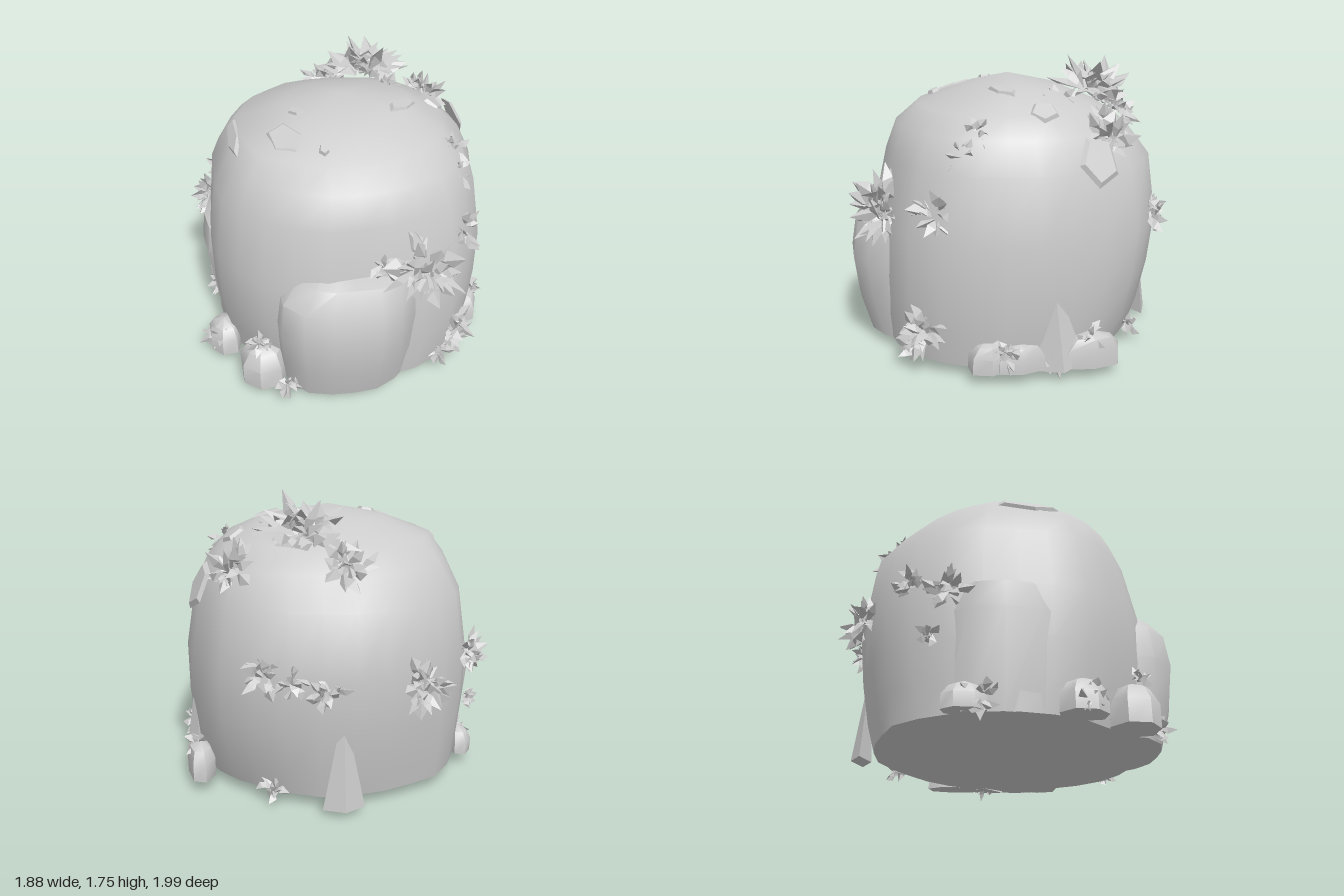
import * as THREE from 'three';
import { mergeGeometries, toCreasedNormals } from 'three/addons/utils/BufferGeometryUtils.js';

const stone = new THREE.MeshStandardMaterial({ color: 0xcccccc });
stone.name = 'stone grey';
const foliage = new THREE.MeshStandardMaterial({ color: 0xcacaca, side: THREE.DoubleSide });
foliage.name = 'foliage grey';

let seed = 7;
const rand = () => (seed = (seed * 16807) % 2147483647) / 2147483647;
const between = (a, b) => a + (b - a) * rand();

// Closed stone lofted through rings of [y, extent -x, extent +x, extent -z, extent +z, squareness, skew];
// skew makes the +x+z and -x-z corners squarer and the other two rounder
function loft(name, cx, cz, rings, apexY, sides, rough) {
  const p = [], index = [];
  rings.forEach(([y, xn, xp, zn, zp, square, skew], r) => {
    for (let i = 0; i < sides; i++) {
      const a = (i / sides) * Math.PI * 2, c = Math.cos(a), s = Math.sin(a);
      const power = square + 2 * skew * c * s;
      const k = Math.pow(Math.abs(c) ** power + Math.abs(s) ** power, -1 / power);
      const wobble = 1 + rough * Math.sin(i * 2.4 + r * 0.5) * Math.sin(i * 0.9 + 1);
      p.push(cx + c * k * wobble * (c > 0 ? xp : xn), y, cz + s * k * wobble * (s > 0 ? zp : zn));
    }
  });
  const top = rings.length * sides, last = top - sides;
  p.push(cx, apexY, cz, cx, rings[0][0], cz);
  for (let i = 0; i < sides; i++) {
    const j = (i + 1) % sides;
    for (let r = 0; r < last; r += sides) {
      index.push(r + i, r + sides + i, r + j, r + j, r + sides + i, r + sides + j);
    }
    index.push(last + i, top, last + j, i, j, top + 1);
  }
  const g = new THREE.BufferGeometry();
  g.setAttribute('position', new THREE.Float32BufferAttribute(p, 3));
  g.setIndex(index);
  const mesh = new THREE.Mesh(toCreasedNormals(g, 0.7), stone);
  mesh.name = name;
  return mesh;
}

// One folded, bent leaf growing along +y
function leaf(len, wide) {
  const b = [0, 0, 0], l = [-wide, len * 0.6, 0.03], r = [wide, len * 0.5, 0.03];
  const m = [0, len * 0.5, -wide * 0.3], t = [0, len, len * 0.15];
  const g = new THREE.BufferGeometry();
  g.setAttribute('position', new THREE.Float32BufferAttribute(
    [b, m, l, l, m, t, b, r, m, m, r, t].flat(2), 3));
  g.computeVertexNormals();
  return g;
}

function facing(mesh, name, position, normal) {
  mesh.name = name;
  mesh.position.set(...position);
  mesh.quaternion.setFromUnitVectors(new THREE.Vector3(0, 1, 0), new THREE.Vector3(...normal).normalize());
  return mesh;
}

// Rosette of leaves facing along the given normal
function rosette(name, position, normal, radius, count) {
  const parts = [];
  for (let i = 0; i < count; i++) {
    const g = leaf(radius * between(0.55, 1), radius * between(0.14, 0.27));
    g.rotateY(between(-0.7, 0.7));
    g.rotateX(0.25 + 1.3 * Math.pow((i + 0.5) / count, 0.7));
    g.rotateY(i * 2.4 + between(-0.3, 0.3));
    g.translate(between(-0.25, 0.25) * radius, 0, between(-0.25, 0.25) * radius);
    parts.push(g);
  }
  return facing(new THREE.Mesh(mergeGeometries(parts), foliage), name, position, normal);
}

// Thin angular flake of stone lying against the surface
function flake(position, normal, w, h, spin) {
  const g = new THREE.CylinderGeometry(0.8, 1, 0.02, 5).toNonIndexed();
  g.scale(w, 1, h);
  g.rotateY(spin);
  g.computeVertexNormals();
  return facing(new THREE.Mesh(g, stone), 'flake', position, normal);
}

// Upright splinter leaning on the boulder
function splinter([x, y, z], w, h, d, lean) {
  const g = new THREE.ConeGeometry(1, 1, 4).toNonIndexed();
  g.scale(w, h, d);
  g.computeVertexNormals();
  const mesh = new THREE.Mesh(g, stone);
  mesh.name = 'splinter';
  mesh.position.set(x, y + h / 2, z);
  mesh.rotation.set(lean[0], 0, lean[1]);
  return mesh;
}

export function createModel() {
  const group = new THREE.Group();
  group.name = 'overgrownBoulder';

  // Main boulder and the ledge in front of it
  group.add(loft('boulder', 0, 0, [
    [0.08, 0.79, 0.81, 0.78, 0.79, 2.1, 0.25],
    [0.25, 0.8, 0.84, 0.82, 0.81, 2.2, 0.15],
    [0.5, 0.82, 0.86, 0.86, 0.82, 2.3, 0.05],
    [0.8, 0.82, 0.86, 0.89, 0.81, 2.35, 0],
    [1.17, 0.77, 0.8, 0.84, 0.73, 2.35, 0],
    [1.35, 0.68, 0.72, 0.7, 0.67, 2.3, 0],
    [1.46, 0.6, 0.61, 0.54, 0.54, 2.25, 0],
    [1.56, 0.33, 0.42, 0.3, 0.26, 2.1, 0]], 1.63, 28, 0.02));
  group.add(loft('frontLedge', -0.04, 0.45, [
    [0.08, 0.41, 0.42, 0.2, 0.43, 2.9, -0.7],
    [0.3, 0.43, 0.43, 0.2, 0.49, 3, -0.7],
    [0.55, 0.44, 0.43, 0.2, 0.52, 3.1, -0.7],
    [0.74, 0.42, 0.43, 0.2, 0.49, 3.1, -0.7],
    [0.86, 0.33, 0.42, 0.2, 0.42, 2.8, -0.4]], 0.98, 20, 0.015));

  // Slight bulge low on the right side
  group.add(loft('rightBulge', -0.58, -0.08, [
    [0.08, 0.22, 0.2, 0.35, 0.4, 2.3, 0], [0.64, 0.29, 0.2, 0.36, 0.4, 2.3, 0],
    [0.8, 0.27, 0.2, 0.3, 0.3, 2.3, 0]], 1, 12, 0.01));

  // Small stones round the foot: x, z, half width, half depth, height
  [[-0.56, 0.64, 0.14, 0.14, 0.25], [-0.78, 0.33, 0.1, 0.13, 0.19], [0.8, 0.1, 0.09, 0.15, 0.16],
    [0.83, -0.3, 0.08, 0.17, 0.19], [0.76, 0.27, 0.11, 0.12, 0.17], [-0.79, -0.28, 0.07, 0.12, 0.15]]
    .forEach(([x, z, w, d, h]) => group.add(loft('footStone', x, z, [
      [0.08, w, w, d, d, 2.5, 0], [0.08 + h * 0.55, w, w, d, d, 2.5, 0],
      [0.08 + h * 0.88, w * 0.65, w * 0.8, d * 0.7, d * 0.65, 2.5, 0]], 0.09 + h, 7, 0.08)));

  // Splinters and flakes
  group.add(splinter([0.84, 0.08, -0.1], 0.08, 0.52, 0.15, [0.08, 0]));
  group.add(splinter([0.07, 0.05, -0.85], 0.12, 0.6, 0.06, [0.03, 0]));
  [[[-0.35, 1.51, 0.28], [-0.25, 1, 0.3], 0.1, 0.14, 0.4],
    [[-0.26, 1.575, 0.09], [-0.2, 1, 0.1], 0.04, 0.06, 1],
    [[0.35, 1.57, 0.1], [0.2, 1, 0.1], 0.11, 0.05, 0.6],
    [[0.58, 1.48, -0.08], [0.7, 1, 0], 0.08, 0.09, 0.2],
    [[-0.63, 1.42, 0.06], [-1, 0.9, 0.1], 0.05, 0.2, 0],
    [[-0.15, 1.51, 0.43], [0, 1, 0.4], 0.03, 0.04, 0],
    [[0.8, 1.24, -0.33], [1, 0.45, -0.2], 0.15, 0.12, 0.3]]
    .forEach((f) => group.add(flake(...f)));

  // Plants: position, facing, radius, leaf count
  const plants = {
    crownPlant: [[0.22, 1.53, -0.47], [0.15, 1, -0.3], 0.27, 42],
    crownSprig: [[0.02, 1.39, -0.69], [0, 0.9, -0.7], 0.18, 18],
    shoulderPlant: [[0.61, 1.35, -0.43], [0.8, 0.75, -0.4], 0.19, 28],
    shoulderSprig: [[0.32, 1.51, -0.22], [0.3, 1, 0], 0.13, 10],
    upperSideSprig: [[0.61, 1.39, 0.3], [0.8, 0.7, 0.4], 0.12, 8],
    upperSideShoot: [[0.64, 1.28, 0.4], [0.8, 0.5, 0.5], 0.1, 6],
    ledgePlant: [[0.36, 0.91, 0.8], [0.35, 0.3, 1], 0.24, 42],
    ledgeSprig: [[0.14, 0.94, 0.79], [0, 0.5, 1], 0.12, 8],
    cornerPlant: [[0.64, 0.96, 0.53], [0.8, 0.2, 0.7], 0.15, 20],
    lowCornerPlant: [[0.61, 0.27, 0.62], [0.7, 0.2, 0.8], 0.17, 30],
    lowCornerSprig: [[0.53, 0.13, 0.67], [0.5, 0.2, 1], 0.11, 12],
    footPlant: [[-0.58, 0.37, 0.67], [-0.4, 0.5, 0.8], 0.1, 12],
    footSprig: [[-0.42, 0.13, 0.8], [-0.2, 0.3, 1], 0.12, 12],
    rightFootPlant: [[-0.82, 0.16, 0.34], [-1, 0.2, 0.4], 0.13, 22],
    rightPlant: [[-0.8, 0.76, -0.39], [-1, 0.2, -0.5], 0.15, 22],
    rightUpperSprig: [[-0.71, 0.82, -0.59], [-0.8, 0.3, -0.7], 0.13, 14],
    rightLowSprig: [[-0.77, 0.5, -0.47], [-0.8, 0.1, -0.5], 0.09, 10],
    rightBackFootPlant: [[-0.8, 0.15, -0.2], [-1, 0.2, -0.3], 0.13, 16],
    backPlant: [[-0.37, 0.74, -0.85], [-0.4, 0.2, -1], 0.18, 30],
    backMiddlePlant: [[0.18, 0.75, -0.89], [0.2, 0.2, -1], 0.13, 18],
    backInnerPlant: [[0.34, 0.8, -0.84], [0.4, 0.2, -1], 0.11, 10],
    backCornerPlant: [[0.49, 0.84, -0.76], [0.6, 0.3, -0.8], 0.15, 18],
    backFootPlant: [[0.44, 0.11, -0.66], [0.5, 0.2, -0.8], 0.12, 10],
    leftFootPlant: [[0.85, 0.2, 0.2], [1, 0.3, 0.2], 0.13, 12],
    leftFootSprig: [[0.85, 0.26, -0.28], [1, 0.3, -0.2], 0.11, 8],
    leftLowSprig: [[0.84, 0.12, -0.08], [1, 0.2, 0], 0.1, 8],
  };
  for (const [name, spec] of Object.entries(plants)) group.add(rosette(name, ...spec));
  return group;
}
